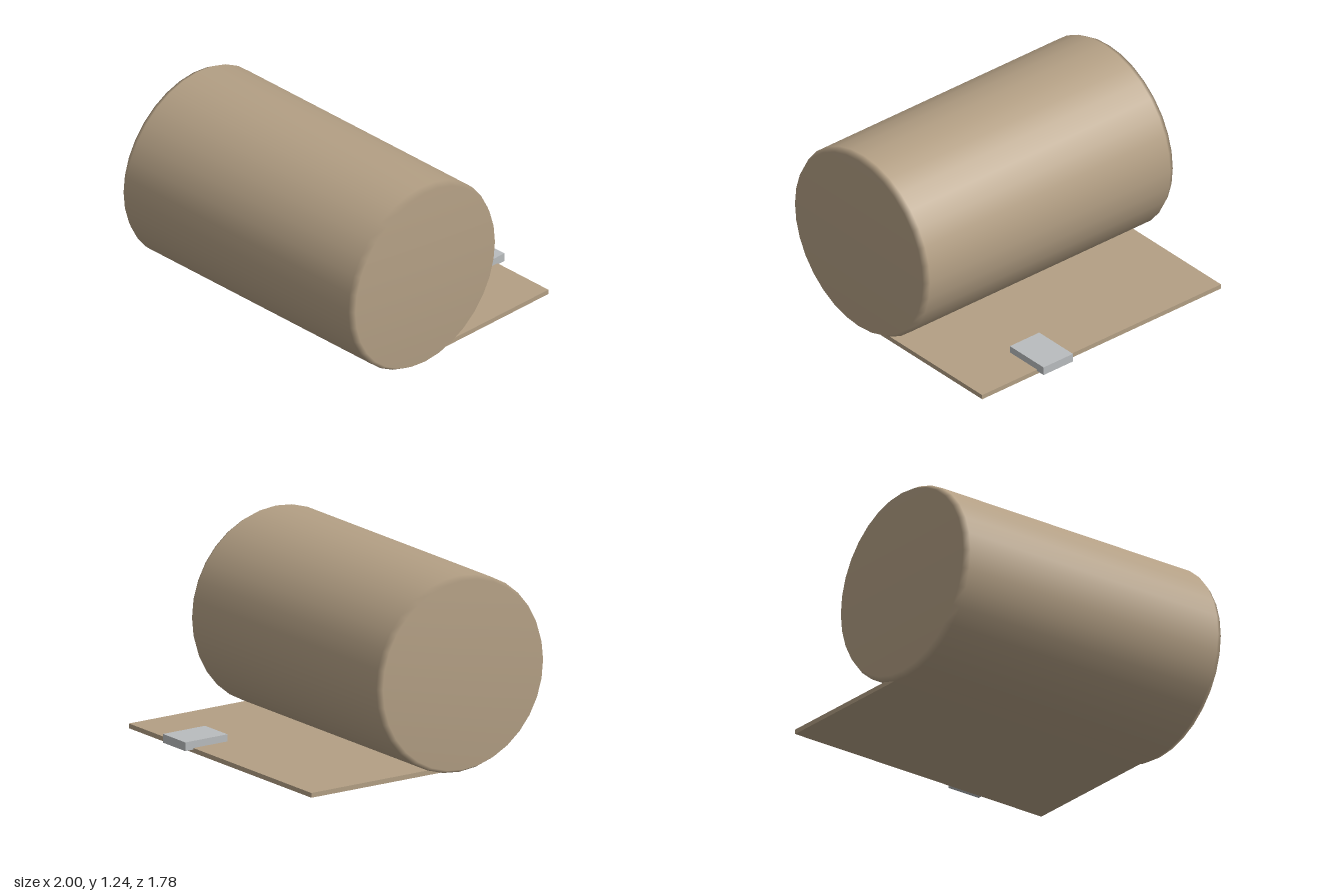
import * as THREE from 'three';

export function createModel() {
  const model = new THREE.Group();
  model.name = 'bedroll';

  const canvas = new THREE.MeshStandardMaterial({ name: 'tan canvas', color: 0xb39f84 });
  const metal = new THREE.MeshStandardMaterial({ name: 'grey metal', color: 0xb9bcbe });

  const add = (name, geometry, material, x, y, z) => {
    const mesh = new THREE.Mesh(geometry, material);
    mesh.name = name;
    mesh.position.set(x, y, z);
    model.add(mesh);
    return mesh;
  };

  // Rolled body: a smooth drum with softly bevelled ends, lying along x
  const profile = [[0, -1], [0.597, -1], [0.62, -0.96], [0.62, 0.96], [0.597, 1], [0, 1]]
    .map(([r, h]) => new THREE.Vector2(r, h));
  add('roll', new THREE.LatheGeometry(profile, 32), canvas, 0, 0.62, 0.27).rotation.z = Math.PI / 2;

  // Loose flap running out behind, its front edge tucked into the roll
  add('flap', new THREE.BoxGeometry(1.91, 0.03, 1.03), canvas, 0, 0.03, -0.315);

  // Buckle overhanging the flap's rear edge
  add('buckle', new THREE.BoxGeometry(0.235, 0.055, 0.315), metal, 0.398, 0.0625, -0.7325);

  return model;
}
